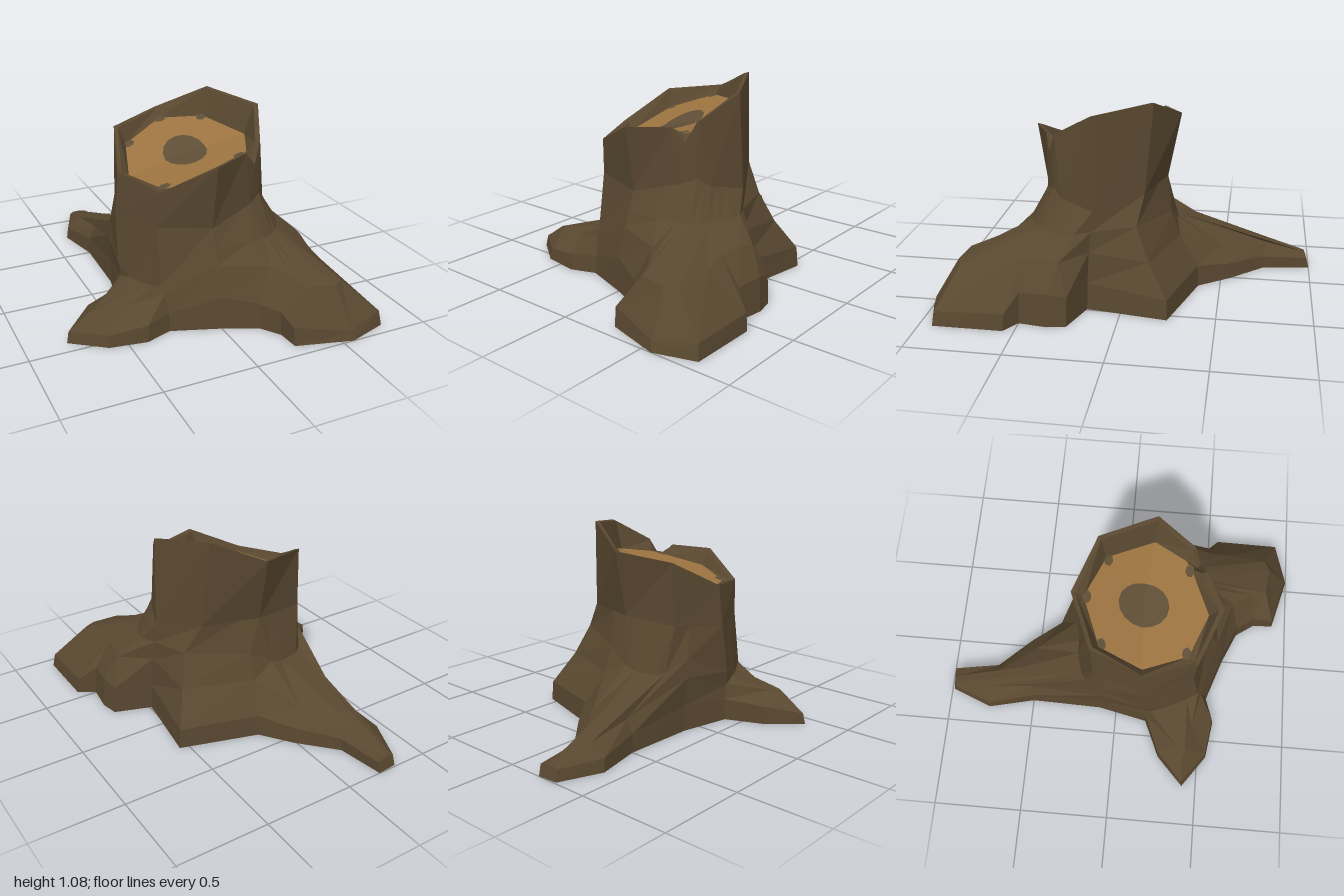
import * as THREE from 'three';

const bark = new THREE.MeshStandardMaterial({ color: 0x594830, side: THREE.DoubleSide });
bark.name = 'bark';
const wood = new THREE.MeshStandardMaterial({ color: 0x9b7240, side: THREE.DoubleSide });
wood.name = 'cut wood';
const heart = new THREE.MeshStandardMaterial({ color: 0x5f4e36 });
heart.name = 'heartwood';

const CX = 0, CZ = 0.12;

// Height of the cut: nearly level in front, rising behind the middle
const cutY = (x, z) => 0.8 + 0.22 * x + (z < CZ ? 0.36 : 0.06) * (CZ - z);
const inset = (p, s) => [CX + (p[0] - CX) * s, CZ + (p[2] - CZ) * s];

// Faceted skin over closed rings that share one point count
function skin(name, rings, material) {
  const n = rings[0].length, index = [];
  for (let i = 0; i < rings.length - 1; i++) {
    for (let j = 0; j < n; j++) {
      const k = (j + 1) % n;
      const a = i * n + j, b = i * n + k, c = b + n, d = a + n;
      index.push(a, b, c, a, c, d);
    }
  }
  const indexed = new THREE.BufferGeometry();
  indexed.setAttribute('position', new THREE.Float32BufferAttribute(rings.flat(2), 3));
  indexed.setIndex(index);
  const geometry = indexed.toNonIndexed();
  geometry.computeVertexNormals();
  const mesh = new THREE.Mesh(geometry, material);
  mesh.name = name;
  return mesh;
}

// Fan-shaped patch lying on the cut, clockwise seen from above
function patch(name, [x0, z0], points, lift, material) {
  const edge = points.map(([x, z]) => [x, cutY(x, z) + lift, z]);
  const middle = edge.map(() => [x0, cutY(x0, z0) + lift, z0]);
  return skin(name, [middle, edge], material);
}

const disc = (x, z, rx, rz, n) => Array.from({ length: n }, (_, i) => {
  const a = (i / n) * Math.PI * 2;
  return [x + rx * Math.cos(a), z + rz * Math.sin(a)];
});

// Trunk rings, clockwise from the back
const rim = [
  [0, 0.96, -0.26], [0.27, 1.08, -0.14], [0.43, 1.04, 0.16], [0.33, 0.91, 0.37], [0.28, 0.8, 0.41],
  [0.21, 0.88, 0.44], [0, 0.87, 0.54], [-0.27, 0.74, 0.43], [-0.38, 0.77, 0.14], [-0.29, 0.92, -0.14],
];
const neck = [
  [0, 0.6, -0.19], [0.31, 0.6, -0.1], [0.45, 0.54, 0.15], [0.38, 0.58, 0.33], [0.33, 0.62, 0.38],
  [0.25, 0.59, 0.43], [0, 0.52, 0.49], [-0.28, 0.55, 0.42], [-0.4, 0.55, 0.15], [-0.3, 0.58, -0.13],
];

// Footprint of the roots and the height of their side walls: [x, z, height]
const outline = [
  [0.01, -0.55, 0.09], [0.13, -0.38, 0.12], [0.55, -0.25, 0.11], [0.49, 0.18, 0.15],
  [0.69, 0.25, 0.16], [0.71, 0.35, 0.18], [0.69, 0.5, 0.17], [0.78, 0.56, 0.09],
  [0.78, 0.93, 0.08], [0.56, 1, 0.05], [0.26, 0.92, 0.1], [0.25, 0.8, 0.13],
  [0.18, 0.7, 0.14], [0, 0.62, 0.18], [-0.26, 0.53, 0.1], [-0.4, 0.58, 0.09],
  [-0.6, 0.55, 0.065], [-0.78, 0.42, 0.06], [-0.62, 0.27, 0.1], [-0.41, 0.18, 0.12],
  [-0.35, -0.1, 0.14], [-0.34, -0.5, 0.1], [-0.4, -0.76, 0.07], [-0.31, -0.99, 0.06],
  [-0.2, -1, 0.06], [-0.16, -0.74, 0.07],
];
// Tops of the roots
const crest = [
  [-0.06, 0.17, -0.5], [0.08, 0.28, -0.27], [0.46, 0.28, -0.14], [0.47, 0.32, 0.17],
  [0.62, 0.32, 0.3], [0.6, 0.33, 0.38], [0.58, 0.31, 0.5], [0.59, 0.28, 0.62],
  [0.58, 0.26, 0.83], [0.52, 0.26, 0.86], [0.37, 0.27, 0.84], [0.34, 0.29, 0.76],
  [0.26, 0.32, 0.64], [0, 0.34, 0.56], [-0.27, 0.2, 0.49], [-0.45, 0.16, 0.45],
  [-0.6, 0.165, 0.42], [-0.64, 0.15, 0.41], [-0.58, 0.165, 0.37], [-0.4, 0.2, 0.2],
  [-0.36, 0.3, -0.1], [-0.3, 0.17, -0.5], [-0.31, 0.13, -0.76], [-0.285, 0.075, -0.97],
  [-0.25, 0.075, -0.97], [-0.24, 0.13, -0.75],
];
// Where the roots flow into the trunk
const shoulder = [
  [-0.05, 0.34, -0.24], [0.08, 0.42, -0.22], [0.4, 0.45, -0.07], [0.46, 0.43, 0.16],
  [0.5, 0.43, 0.24], [0.49, 0.42, 0.3], [0.46, 0.42, 0.36], [0.43, 0.42, 0.41],
  [0.4, 0.42, 0.45], [0.37, 0.42, 0.47], [0.34, 0.42, 0.49], [0.3, 0.42, 0.51],
  [0.2, 0.42, 0.53], [0, 0.42, 0.53], [-0.28, 0.24, 0.47], [-0.31, 0.22, 0.41],
  [-0.34, 0.22, 0.36], [-0.36, 0.22, 0.32], [-0.38, 0.22, 0.27], [-0.41, 0.28, 0.19],
  [-0.35, 0.4, -0.08], [-0.28, 0.33, -0.18], [-0.24, 0.32, -0.21], [-0.2, 0.32, -0.22],
  [-0.16, 0.32, -0.23], [-0.12, 0.32, -0.24],
];
// Place of each root column along the neck ring, in neck corners
const neckPlace = [
  0, 0.4, 1, 2, 2.2, 2.5, 2.8, 3, 3.4, 4, 4.5, 5, 5.3,
  6, 7, 7.2, 7.4, 7.6, 7.8, 8, 8.7, 9, 9.2, 9.4, 9.6, 9.8,
];

export function createModel() {
  const group = new THREE.Group();
  group.name = 'treeStump';

  // Upper trunk with a thin broken lip around the sunken cut
  const lip = rim.map(p => {
    const [x, z] = inset(p, 0.94);
    return [x, p[1] - 0.005, z];
  });
  const cutEdge = rim.map(p => inset(p, 0.83));
  const cutRing = cutEdge.map(([x, z]) => [x, cutY(x, z), z]);
  group.add(skin('trunk', [cutRing, lip, rim, neck], bark));

  // Flared base and roots, open underneath
  const seam = neckPlace.map(u => {
    const i = Math.floor(u), a = neck[i], b = neck[(i + 1) % neck.length];
    return a.map((v, k) => v + (b[k] - v) * (u - i));
  });
  const wall = outline.map(([x, z, h]) => [x * 0.985, h, z * 0.985]);
  const foot = outline.map(([x, z]) => [x, 0, z]);
  group.add(skin('roots', [seam, shoulder, crest, wall, foot], bark));

  // Cut face with its dark heart and small stains by the edge
  group.add(patch('cutFace', [CX, CZ], cutEdge, 0, wood));
  group.add(patch('heartwood', [0.015, CZ], disc(0.015, CZ, 0.115, 0.135, 16), 0.006, heart));
  for (const corner of [0, 1, 4, 7, 9]) {
    const [x, z] = inset(rim[corner], 0.79);
    group.add(patch('edgeStain', [x, z], disc(x, z, 0.035, 0.025, 7), 0.006, heart));
  }
  return group;
}
